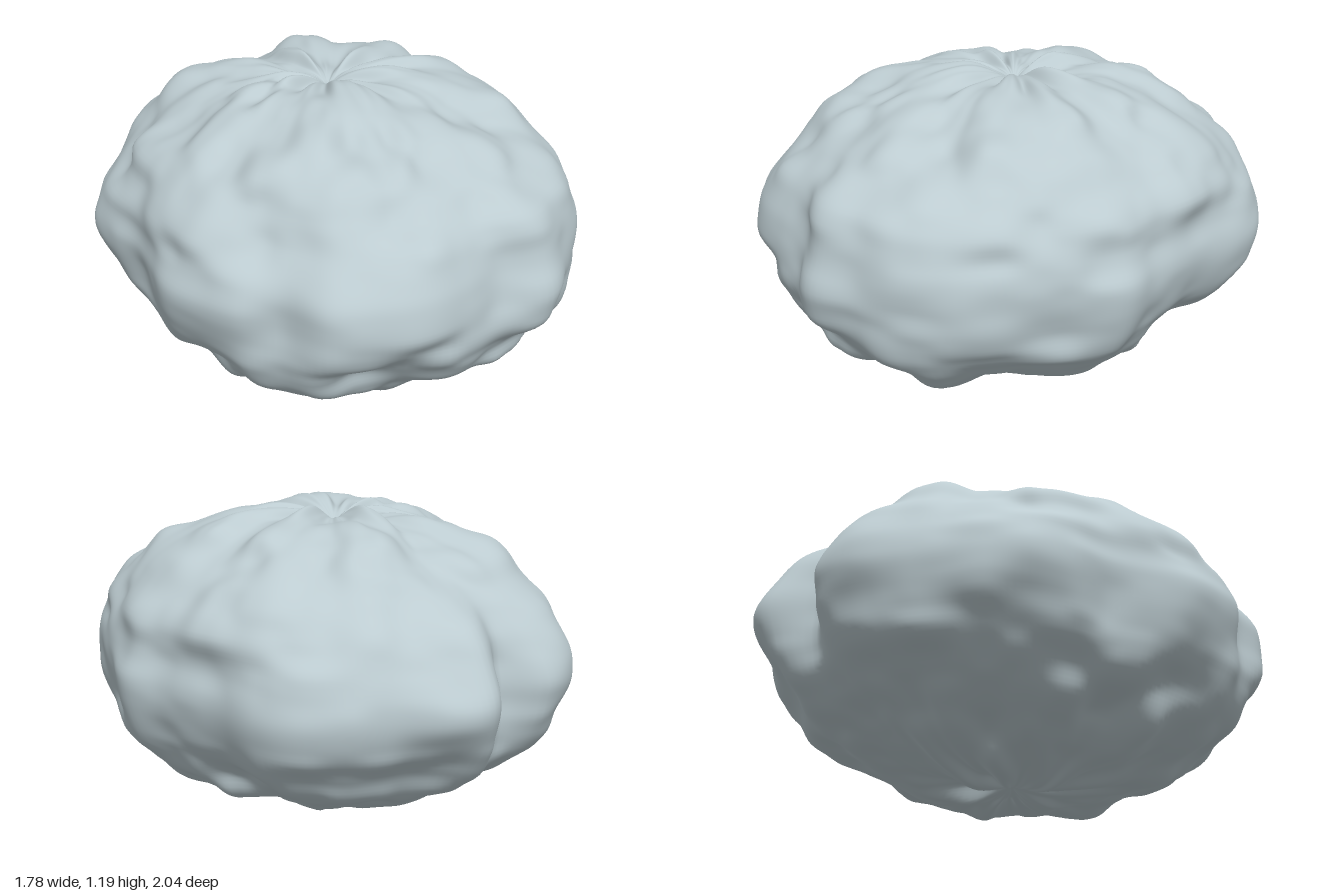
import * as THREE from 'three';
import { mergeVertices } from 'three/addons/utils/BufferGeometryUtils.js';

// Equator radius every 10 degrees, turning from +x towards +z
const RADII = [
  0.86, 0.905, 0.89, 0.89, 0.92, 0.98, 1.01, 0.99, 1.015, 0.94, 0.97, 1.0,
  1.0, 0.99, 0.9, 0.92, 0.91, 0.9, 0.84, 0.81, 0.87, 0.92, 0.92, 0.91,
  0.94, 0.99, 0.98, 0.85, 1.01, 1.0, 0.95, 0.97, 0.98, 0.93, 0.86, 0.85,
];
const outline = new THREE.CatmullRomCurve3(
  RADII.map((r) => new THREE.Vector3(r, 0, 0)), true, 'catmullrom', 0.5);
const wrap = (t) => t - Math.floor(t);
const { lerp, smoothstep, clamp } = THREE.MathUtils;

// Smooth repeatable noise in -1..1 that wraps around the body every n cells
function noise(u, v, n) {
  const hash = (i, j) => {
    const s = Math.sin((((i % n) + n) % n) * 127.1 + j * 311.7 + n) * 43758.5453;
    return 2 * wrap(s) - 1;
  };
  const i = Math.floor(u), j = Math.floor(v);
  const ease = (t) => t * t * t * (t * (6 * t - 15) + 10);
  const a = ease(u - i), b = ease(v - j);
  return lerp(
    lerp(hash(i, j), hash(i + 1, j), a),
    lerp(hash(i, j + 1), hash(i + 1, j + 1), a), b);
}

function lumpyBody() {
  const sphere = new THREE.SphereGeometry(1, 224, 112);
  sphere.deleteAttribute('uv');
  sphere.deleteAttribute('normal');
  const geo = mergeVertices(sphere, 1e-5);
  const pos = geo.attributes.position;
  const p = new THREE.Vector3();

  for (let k = 0; k < pos.count; k++) {
    p.fromBufferAttribute(pos, k);
    const ring = Math.hypot(p.x, p.z);
    const lat = Math.asin(clamp(p.y, -1, 1));
    const angle = Math.atan2(p.z, p.x);
    const steep = Math.sin(lat) ** 2;
    // ribs wander sideways a little as they run from pole to pole
    const wander = 0.012 * Math.sin(lat * 3 + angle * 2) * steep;
    const u = wrap(angle / (2 * Math.PI) + wander);
    const rim = outline.getPoint(u).x;

    // the bulging rim sits higher at the front and lower at the sides
    const front = Math.sin(angle);
    const rimLat = 0.15 * front * Math.max(front, 0) + 0.05 * Math.max(-front, 0)
      - 0.15 * Math.cos(angle) ** 2;
    // away from the rim the body is rounder: full at the front, slimmer at the back
    const core = 0.86 + 0.14 * smoothstep(front, -0.1, 1) - 0.035 * Math.sin(lat);
    const bulge = Math.exp(-(((lat - rimLat) / 0.33) ** 2));
    const radius = lerp(core, rim, 0.35 + 0.65 * bulge);

    // broad ribs, rounded lumps and fine pleats; all die out at the pole itself
    const fade = smoothstep(ring, 0, 0.2);
    const lumps = 0.045 * noise(u * 18, lat * 2.2 + 10, 18)
      + 0.035 * noise(u * 26, lat * 5 + 20, 26)
      + 0.012 * noise(u * 44, lat * 7 + 40, 44);
    const f = 1 + lumps * fade * (0.25 + 0.75 * smoothstep(Math.abs(lat - rimLat), 0, 0.5));

    // pinched dimple at both poles, deeper on top
    const dimple = (p.y > 0 ? 0.1 : 0.06) * Math.exp(-ring / 0.12);
    const height = 0.595 * f - dimple;
    pos.setXYZ(k, p.x * radius * f, p.y * height, p.z * radius * f);
  }

  // stand on the ground
  geo.computeBoundingBox();
  geo.translate(0, -geo.boundingBox.min.y, 0);
  geo.computeVertexNormals();
  return geo;
}

export function createModel() {
  const group = new THREE.Group();
  group.name = 'lumpyBoulder';
  const body = new THREE.Mesh(lumpyBody(), new THREE.MeshStandardMaterial({ color: 0xbccbd0 }));
  body.name = 'body';
  group.add(body);
  return group;
}
